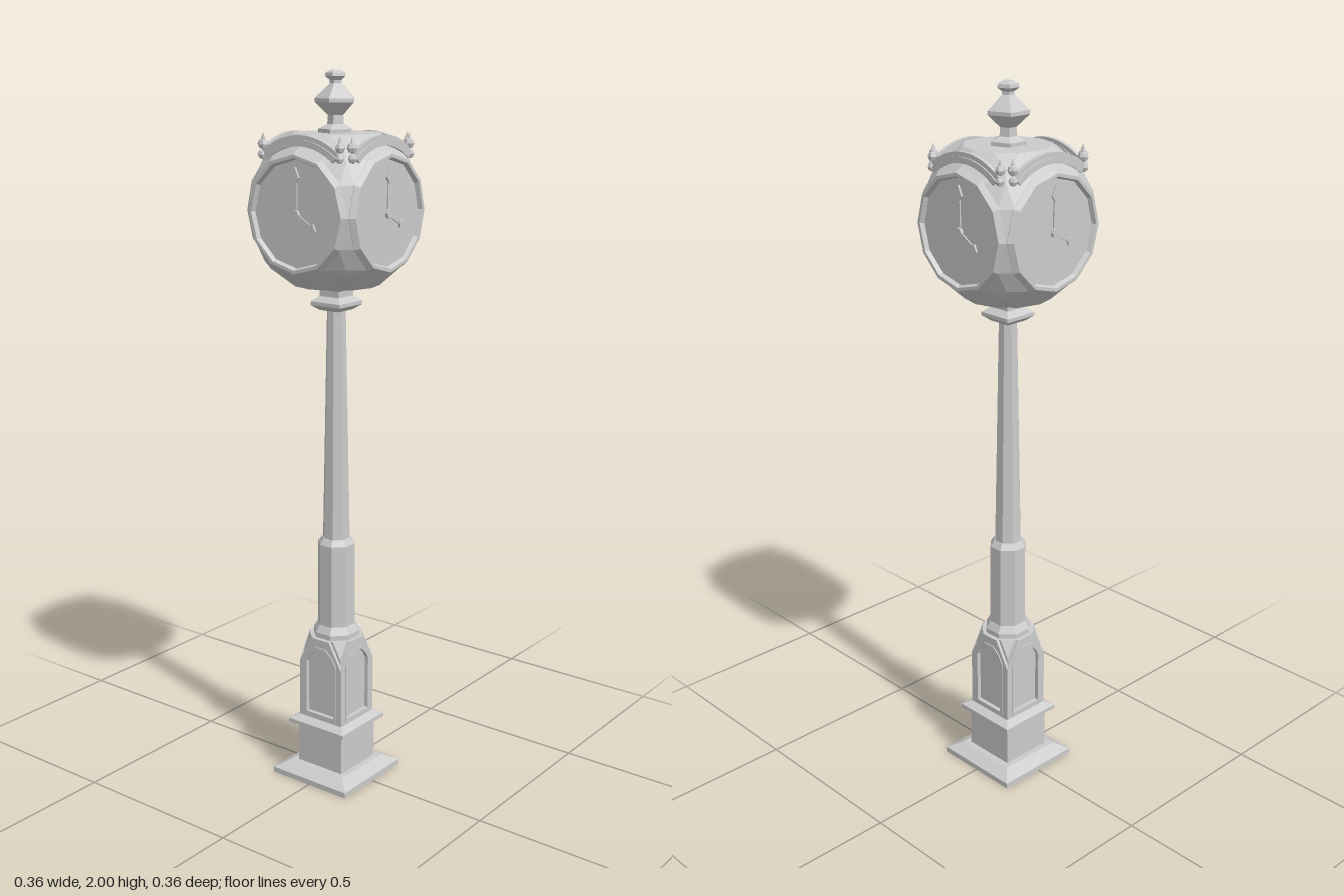
import * as THREE from 'three';
import { ConvexGeometry } from 'three/addons/geometries/ConvexGeometry.js';

const material = new THREE.MeshStandardMaterial({ color: 0xcccccc, flatShading: true });
const V = (x, y, z) => new THREE.Vector3(x, y, z);

function add(parent, name, geometry, x = 0, y = 0, z = 0) {
  const mesh = new THREE.Mesh(geometry, material);
  mesh.name = name;
  mesh.position.set(x, y, z);
  parent.add(mesh);
  return mesh;
}

// Stacked regular prism: profile of [half-width across flats, y], a flat facing +z
function prism(sides, profile) {
  const k = 1 / Math.cos(Math.PI / sides);
  const pts = profile.map(([w, y]) => new THREE.Vector2(w * k, y));
  return new THREE.LatheGeometry(pts, sides, Math.PI / sides);
}

function polygon(points, Kind = THREE.Shape) {
  return new Kind(points.map(([x, y]) => new THREE.Vector2(x, y)));
}

function extrude(shape, depth, curveSegments = 4) {
  return new THREE.ExtrudeGeometry(shape, { depth, bevelEnabled: false, curveSegments });
}

// Pointed-arch window outline
function windowOutline(w, bottom, shoulder, top, tip) {
  return [[-w, bottom], [w, bottom], [w, shoulder], [w * 0.75, shoulder + (top - shoulder) * 0.55],
    [tip, top], [-tip, top], [-w * 0.75, shoulder + (top - shoulder) * 0.55], [-w, shoulder]];
}

// Pedestal face: slab with an arched opening, and a raised frame around it
function pedestalSide() {
  const side = new THREE.Group();
  side.name = 'pedestalPanel';
  const opening = windowOutline(0.048, 0.2, 0.355, 0.395, 0.015);
  const slab = polygon([[-0.075, 0.17], [0.075, 0.17], [0.075, 0.35], [0.03, 0.43], [-0.03, 0.43], [-0.075, 0.35]]);
  slab.holes.push(polygon(opening, THREE.Path));
  add(side, 'panelSlab', extrude(slab, 0.009), 0, 0, 0.066);
  const frame = polygon(windowOutline(0.057, 0.192, 0.36, 0.406, 0.018));
  frame.holes.push(polygon(opening, THREE.Path));
  add(side, 'panelFrame', extrude(frame, 0.012), 0, 0, 0.066);
  return side;
}

function hand(length, width) {
  const group = new THREE.Group();
  add(group, 'handStem', extrude(polygon([[-width, 0], [width, 0], [width * 0.6, length], [-width * 0.6, length]]), 0.004));
  const a = length * 0.68, b = length * 0.84;
  add(group, 'handTip', extrude(polygon([[0, a], [0.012, b], [0, length * 1.08], [-0.012, b]]), 0.006));
  return group;
}

// One clock side: rim, hands, and the arched crest with its scroll knobs
function clockSide() {
  const side = new THREE.Group();
  side.name = 'clockSide';
  const profile = [[0.158, 0.145], [0.164, 0.166], [0.153, 0.18], [0.144, 0.18], [0.138, 0.166]];
  const rim = new THREE.LatheGeometry(profile.map(([r, y]) => new THREE.Vector2(r, y)), 12);
  add(side, 'dialRim', rim.rotateX(Math.PI / 2));

  const minute = hand(0.112, 0.005);
  minute.name = 'minuteHand';
  minute.position.z = 0.168;
  const hour = hand(0.072, 0.006);
  hour.name = 'hourHand';
  hour.position.z = 0.17;
  hour.rotation.z = -Math.PI * 2 / 3;
  side.add(minute, hour);
  add(side, 'handHub', new THREE.CylinderGeometry(0.013, 0.013, 0.01, 8).rotateX(Math.PI / 2), 0, 0, 0.172);

  const half = 0.68, mid = Math.PI / 2;
  for (const [inner, outer, z, depth] of [[0.172, 0.188, 0.139, 0.018], [0.188, 0.2, 0.142, 0.011]]) {
    const arch = new THREE.Shape();
    arch.absarc(0, 0, outer, mid - half, mid + half, false);
    arch.absarc(0, 0, inner, mid + half, mid - half, true);
    add(side, 'crestArch', extrude(arch, depth, 8), 0, 0, z);
  }
  for (const s of [-1, 1]) {
    add(side, 'crestKnob', new THREE.SphereGeometry(0.014, 6, 4), s * 0.125, 0.172, 0.147);
    add(side, 'crestKnob', new THREE.SphereGeometry(0.012, 6, 4), s * 0.126, 0.145, 0.149);
    add(side, 'crestSpike', new THREE.ConeGeometry(0.007, 0.022, 6), s * 0.125, 0.191, 0.147);
  }
  return side;
}

// Faceted ball flattened on its six sides
function headGeometry() {
  const R = 0.235, pts = [];
  const ring = (r, place) => {
    for (let i = 0; i < 12; i++) {
      const a = i * Math.PI / 6;
      pts.push(place(r * Math.cos(a), r * Math.sin(a)));
    }
  };
  for (const s of [-1, 1]) {
    ring(0.16, (u, v) => V(u, v, s * 0.168));
    ring(0.16, (u, v) => V(s * 0.168, v, u));
    ring(0.118, (u, v) => V(u, s * 0.2, v));
    for (const sx of [-1, 1]) for (const sz of [-1, 1]) {
      for (const [a, b] of [[1, 1], [0.92, 1.15]]) {
        pts.push(V(sx * a, s * b, sz * a).setLength(R));
      }
    }
  }
  return new ConvexGeometry(pts);
}

export function createModel() {
  const model = new THREE.Group();
  model.name = 'streetClock';

  // Base and plinth
  add(model, 'base', prism(4, [[0, 0], [0.131, 0], [0.131, 0.016], [0.095, 0.036], [0, 0.036]]));
  add(model, 'plinth', prism(4, [[0, 0.03], [0.078, 0.03], [0.078, 0.17], [0, 0.17]]));
  add(model, 'plinthMoulding', prism(4, [[0.078, 0.15], [0.098, 0.158], [0.098, 0.17], [0.075, 0.182]]));

  // Pedestal with cut top corners
  const core = [];
  for (const sx of [-1, 1]) for (const sz of [-1, 1]) {
    core.push(V(sx * 0.066, 0.17, sz * 0.066), V(sx * 0.066, 0.382, sz * 0.066),
      V(sx * 0.039, 0.43, sz * 0.066), V(sx * 0.066, 0.43, sz * 0.039));
  }
  add(model, 'pedestalCore', new ConvexGeometry(core));

  // Octagonal post
  add(model, 'lowerPost', prism(8, [[0.062, 0.428], [0.062, 0.444], [0.05, 0.465], [0.049, 0.705], [0.038, 0.722], [0, 0.722]]));
  add(model, 'shaft', prism(8, [[0.036, 0.715], [0.024, 1.38]]));

  // Square collar below the head
  add(model, 'collar', prism(4, [[0, 1.37], [0.032, 1.37], [0.05, 1.384], [0.05, 1.394],
    [0.032, 1.408], [0.032, 1.425], [0.042, 1.432], [0.042, 1.45]]));

  // Clock head
  const head = new THREE.Group();
  head.name = 'clockHead';
  head.position.y = 1.64;
  add(head, 'headShell', headGeometry());
  model.add(head);

  // Four matching sides
  for (let i = 0; i < 4; i++) {
    const panel = pedestalSide();
    const clock = clockSide();
    panel.rotation.y = clock.rotation.y = i * Math.PI / 2;
    model.add(panel);
    head.add(clock);
  }

  // Five-sided finial
  const finial = [[0.048, 1.835], [0.048, 1.85], [0.024, 1.862], [0.022, 1.885], [0.057, 1.918], [0.057, 1.928],
    [0.017, 1.966], [0.017, 1.974], [0.03, 1.984], [0.028, 1.993], [0.014, 2], [0, 2]];
  add(model, 'finial', new THREE.LatheGeometry(finial.map(([r, y]) => new THREE.Vector2(r, y)), 5, Math.PI / 2));

  return model;
}
